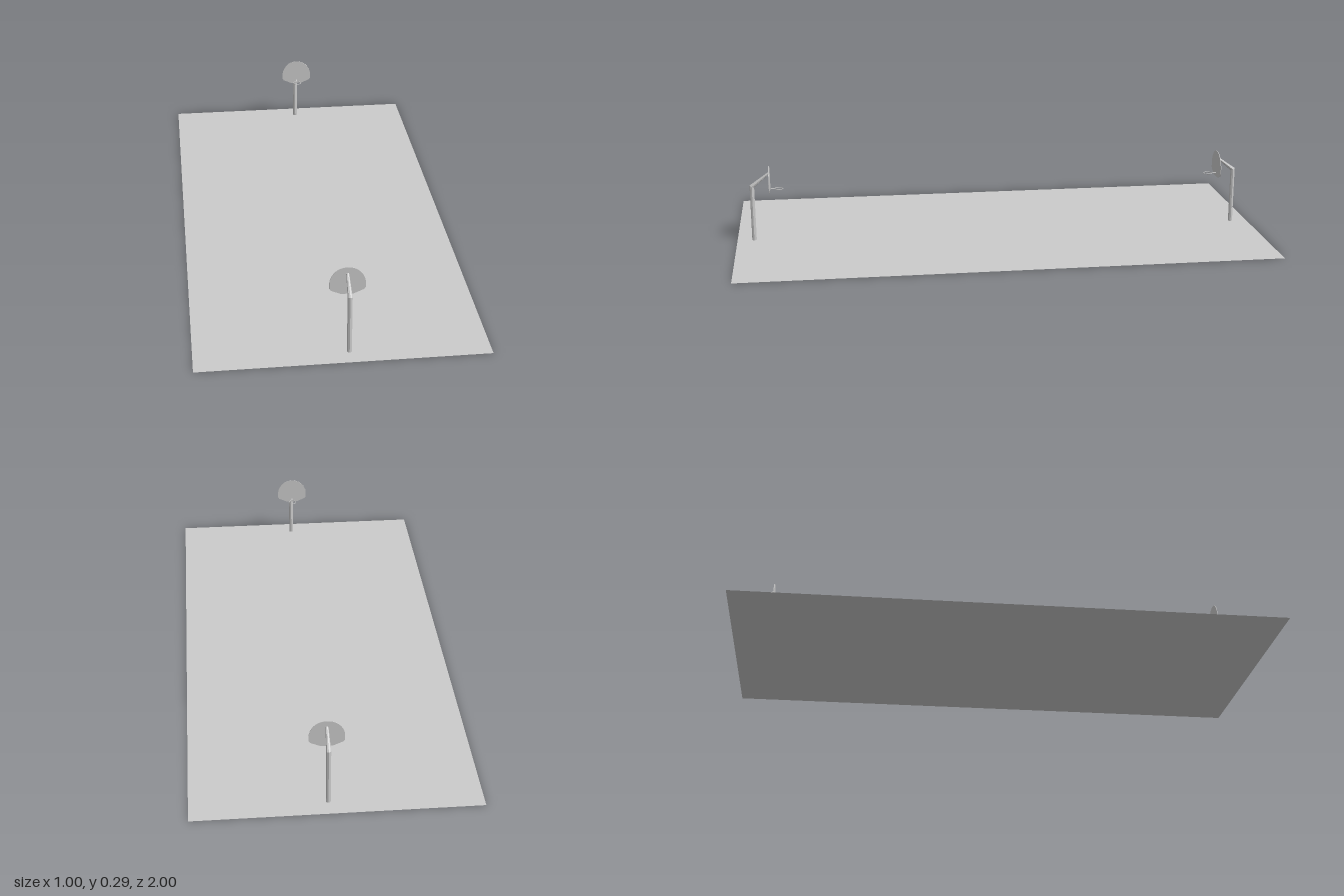
import * as THREE from 'three';

const grey = (options = {}) => new THREE.MeshStandardMaterial({ color: 0xcccccc, ...options });

function addPart(parent, name, geometry, material) {
  const mesh = new THREE.Mesh(geometry, material);
  mesh.name = name;
  parent.add(mesh);
  return mesh;
}

// Eight-sided post, mitred at the bend and tapering to a vertical cut at the board
function bentPost() {
  const geometry = new THREE.CylinderGeometry(0.0085, 0.0085, 1, 8, 2);
  const p = geometry.attributes.position;
  for (let i = 0; i < p.count; i++) {
    const x = p.getX(i), y = p.getY(i), z = p.getZ(i);
    if (y < -0.25) p.setXYZ(i, x, 0, 0.936 + z);
    else if (y < 0.25) p.setXYZ(i, x, 0.212 + z * 0.46, 0.936 + z);
    else p.setXYZ(i, x * 0.6, 0.262 + z * 0.6, 0.871);
  }
  geometry.computeVertexNormals();
  return geometry;
}

// Fan-shaped board outline: domed top, short sides, slanted lower corners
function fanBoard() {
  const shape = new THREE.Shape();
  shape.moveTo(-0.022, 0.186);
  shape.lineTo(0.022, 0.186);
  shape.lineTo(0.056, 0.201);
  shape.lineTo(0.061, 0.209);
  shape.lineTo(0.061, 0.232);
  shape.bezierCurveTo(0.056, 0.265, 0.032, 0.288, 0, 0.288);
  shape.bezierCurveTo(-0.032, 0.288, -0.056, 0.265, -0.061, 0.232);
  shape.lineTo(-0.061, 0.209);
  shape.lineTo(-0.056, 0.201);
  shape.closePath();
  return new THREE.ExtrudeGeometry(shape, { depth: 0.002, bevelEnabled: false, curveSegments: 10 })
    .translate(0, 0, 0.869);
}

function createHoop(name) {
  const hoop = new THREE.Group();
  hoop.name = name;
  addPart(hoop, 'post', bentPost(), grey({ flatShading: true }));
  addPart(hoop, 'backboard', fanBoard(), grey());

  const rim = addPart(hoop, 'rim', new THREE.TorusGeometry(0.0155, 0.0014, 6, 20), grey());
  rim.rotation.x = Math.PI / 2;
  rim.position.set(0, 0.2, 0.835);

  const bracket = addPart(hoop, 'rimBracket', new THREE.BoxGeometry(0.005, 0.0025, 0.019), grey());
  bracket.position.set(0, 0.2, 0.8605);
  return hoop;
}

export function createModel() {
  const model = new THREE.Group();
  model.name = 'basketballCourt';

  // Flat court floor
  addPart(model, 'court', new THREE.PlaneGeometry(1, 2).rotateX(-Math.PI / 2),
    grey({ side: THREE.DoubleSide }));

  // Two hoops facing each other across the court
  const front = createHoop('frontHoop');
  front.position.x = 0.0235;
  const back = createHoop('backHoop');
  back.rotation.y = Math.PI;
  back.position.x = 0.0275;
  model.add(front, back);
  return model;
}
